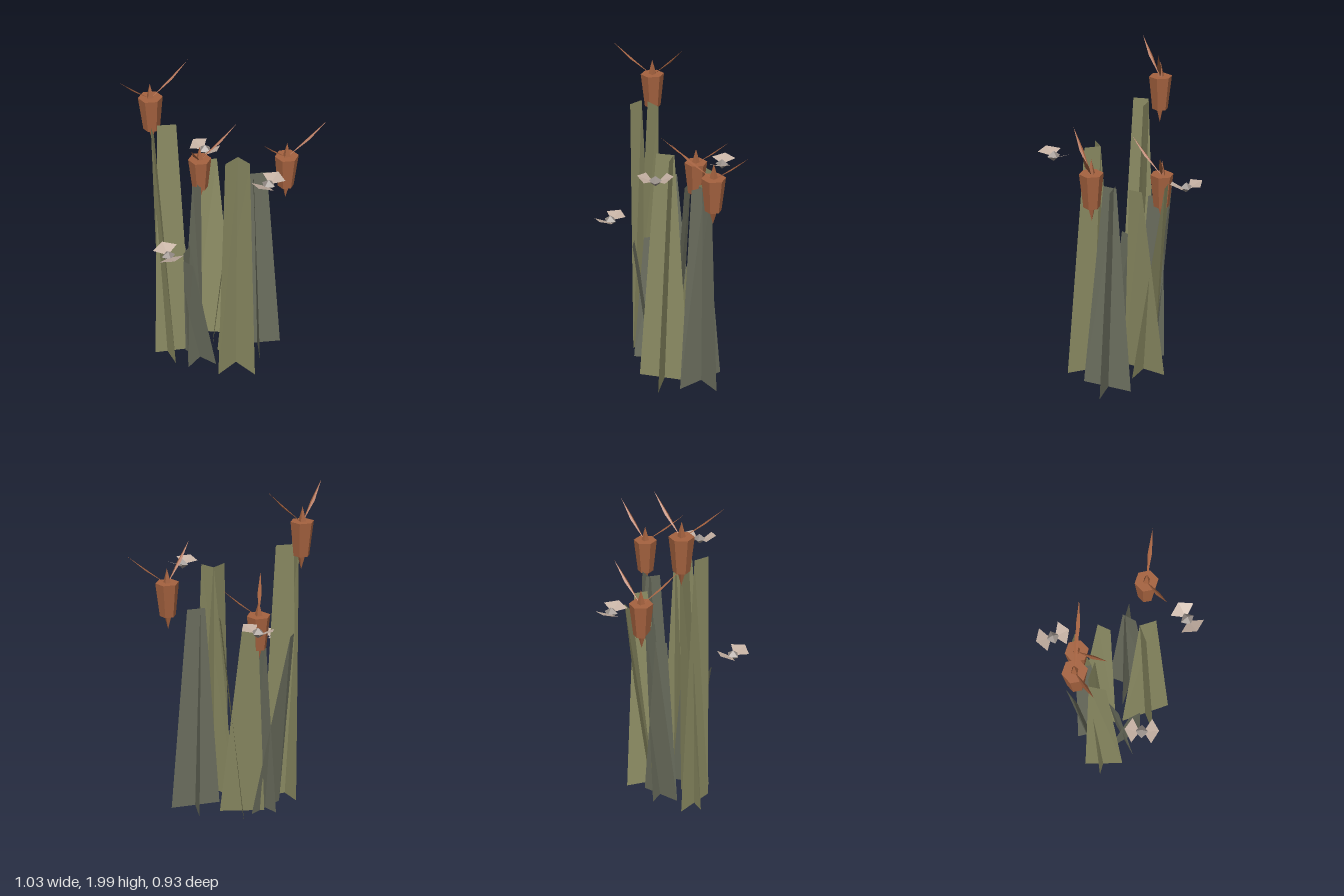
import * as THREE from 'three';

const mat = (color) => new THREE.MeshStandardMaterial({ color, flatShading: true, side: THREE.DoubleSide });
const olive = mat(0x8a8a62), greyGreen = mat(0x6b6e5e), rust = mat(0xa5623f), pale = mat(0xc6b2a4), dusk = mat(0x99908a);

function named(geometry, material, name) {
  const mesh = new THREE.Mesh(geometry, material);
  mesh.name = name;
  return mesh;
}

// Flat four-cornered card, corners given in order around the edge
function card(corners, material, name) {
  const [a, b, c, d] = corners;
  const g = new THREE.BufferGeometry();
  g.setAttribute('position', new THREE.Float32BufferAttribute([a, b, c, a, c, d].flat(), 3));
  g.computeVertexNormals();
  return named(g, material, name);
}

// Stem: two crossed blades, each [x, z] base ends followed by [x, z] top ends
function stem(height, material, blades) {
  const g = new THREE.Group();
  g.name = 'stem';
  for (const [b1, b2, t1, t2] of blades) {
    g.add(card([
      [b1[0], 0, b1[1]], [b2[0], 0, b2[1]],
      [t2[0], height, t2[1]], [t1[0], height, t1[1]],
    ], material, 'stemBlade'));
  }
  return g;
}

// Flower: tapered faceted head, pointed core and two long thin filaments
function flower(x, y, z, tips) {
  const g = new THREE.Group();
  g.name = 'flower';
  g.position.set(x, y, z);
  g.add(named(new THREE.CylinderGeometry(0.069, 0.047, 0.2, 6), rust, 'flowerHead'));
  const core = named(new THREE.OctahedronGeometry(1), rust, 'flowerCore');
  core.scale.set(0.05, 0.185, 0.05);
  core.rotation.y = 0.4;
  g.add(core);
  for (const [tx, tz] of tips) {
    const side = new THREE.Vector3(-tz, 0, tx).setLength(0.012);
    const mx = tx * 0.55, mz = tz * 0.55, my = 0.19;
    g.add(card([
      [0, 0.09, 0], [mx + side.x, my, mz + side.z],
      [tx, 0.29, tz], [mx - side.x, my, mz - side.z],
    ], rust, 'filament'));
  }
  return g;
}

// Small flying insect: flattened body and two raised wings
function moth(x, y, z, degrees) {
  const g = new THREE.Group();
  g.name = 'moth';
  g.position.set(x, y, z);
  g.rotation.y = -THREE.MathUtils.degToRad(degrees);
  const body = named(new THREE.OctahedronGeometry(0.041), dusk, 'mothBody');
  body.scale.y = 0.75;
  g.add(body);
  const outline = [[142, 0.093, 0.015], [90, 0.1, 0.03], [38, 0.092, 0.02]];
  for (const s of [-1, 1]) {
    const rim = outline.map(([deg, r, h]) => {
      const a = THREE.MathUtils.degToRad(deg);
      return [r * Math.cos(a), h, s * r * Math.sin(a)];
    });
    g.add(card([[0, -0.005, s * 0.012], ...rim], pale, 'mothWing'));
  }
  return g;
}

export function createModel() {
  const model = new THREE.Group();
  model.name = 'plantCluster';

  // Stems
  model.add(
    stem(1.65, olive, [
      [[-0.385, -0.23], [-0.175, -0.12], [-0.29, -0.245], [-0.2, -0.19]],
      [[-0.34, -0.07], [-0.295, -0.31], [-0.367, -0.165], [-0.33, -0.25]],
    ]),
    stem(1.5, olive, [
      [[-0.19, 0.175], [0.12, 0.13], [-0.09, 0.115], [0.015, 0.1]],
      [[-0.055, -0.01], [-0.01, 0.315], [0.01, 0.1], [0.02, 0.195]],
    ]),
    stem(1.3, greyGreen, [
      [[0.1, 0.23], [0.268, -0.03], [0.12, 0.105], [0.175, 0.04]],
      [[0.055, 0.015], [0.315, 0.17], [0.14, 0.04], [0.235, 0.09]],
    ]),
    stem(1.26, olive, [
      [[-0.06, -0.055], [0.125, -0.27], [0.11, -0.045], [0.16, -0.11]],
      [[-0.07, -0.25], [0.13, -0.065], [0.05, -0.295], [0.13, -0.25]],
    ]),
    stem(1.15, greyGreen, [
      [[-0.22, -0.235], [0.02, -0.23], [-0.21, -0.335], [-0.15, -0.36]],
      [[-0.09, -0.125], [-0.1, -0.32], [-0.035, -0.19], [-0.03, -0.28]],
    ]),
    stem(0.83, greyGreen, [
      [[-0.22, -0.13], [-0.145, 0.093], [-0.295, -0.02], [-0.277, 0.05]],
      [[-0.3, 0.01], [-0.07, -0.057], [-0.255, -0.075], [-0.175, -0.12]],
    ]),
  );

  // Flowers
  model.add(
    flower(-0.285, 1.7, -0.31, [[-0.225, 0.06], [0.215, 0.065]]),
    flower(0.285, 1.35, 0.2, [[-0.23, 0.06], [0.225, 0.08]]),
    flower(0.01, 1.2, -0.26, [[-0.165, 0.145], [0.225, 0.065]]),
  );

  // Moths
  model.add(
    moth(-0.43, 0.965, 0.025, 15),
    moth(0.01, 1.46, 0.37, 72),
    moth(0.135, 1.26, -0.375, -9),
  );
  return model;
}
